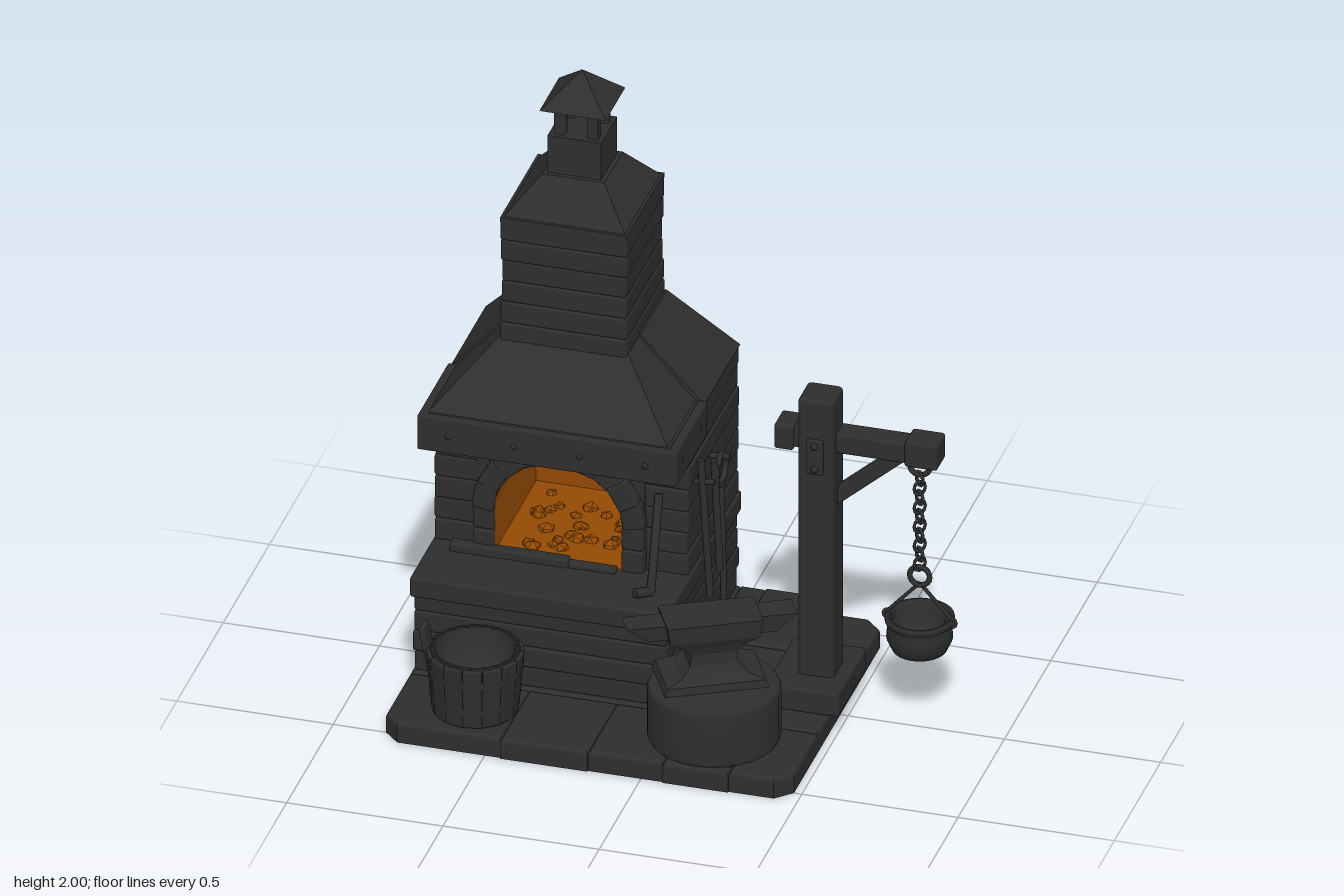
import * as THREE from 'three';
import { RoundedBoxGeometry } from 'three/addons/geometries/RoundedBoxGeometry.js';

const V = (x, y, z) => new THREE.Vector3(x, y, z);

export function createModel() {
  const model = new THREE.Group();
  const iron = new THREE.MeshStandardMaterial({ color: 0x2e2e2e, side: THREE.DoubleSide });
  iron.name = 'charcoalGrey';
  const glow = new THREE.MeshStandardMaterial({ color: 0x944a04, side: THREE.DoubleSide });
  glow.name = 'emberOrange';

  let seed = 7;
  const rnd = () => (seed = (seed * 16807) % 2147483647) / 2147483647;
  const group = (name) => {
    const g = new THREE.Group();
    g.name = name;
    model.add(g);
    return g;
  };
  const add = (parent, name, geo, x = 0, y = 0, z = 0, mat = iron) => {
    const m = new THREE.Mesh(geo, mat);
    m.name = name;
    m.position.set(x, y, z);
    parent.add(m);
    return m;
  };
  // softened block given by its extents
  const block = (parent, name, x0, x1, y0, y1, z0, z1, r = 0.009) =>
    add(parent, name, new RoundedBoxGeometry(x1 - x0, y1 - y0, z1 - z0, 2, r),
      (x0 + x1) / 2, (y0 + y1) / 2, (z0 + z1) / 2);
  // four-sided taper between two rectangles [x0, x1, z0, z1]
  const taper = (parent, name, y0, y1, a, b) => {
    const g = new THREE.BoxGeometry(1, 1, 1), p = g.attributes.position;
    for (let i = 0; i < p.count; i++) {
      const r = p.getY(i) > 0 ? b : a;
      p.setXYZ(i, p.getX(i) > 0 ? r[1] : r[0], p.getY(i) > 0 ? y1 : y0, p.getZ(i) > 0 ? r[3] : r[2]);
    }
    g.computeVertexNormals();
    return add(parent, name, g);
  };
  const rod = (parent, name, a, b, r, sides = 8) => {
    const m = add(parent, name, new THREE.CylinderGeometry(r, r, a.distanceTo(b), sides));
    m.position.copy(a).add(b).multiplyScalar(0.5);
    m.quaternion.setFromUnitVectors(V(0, 1, 0), b.clone().sub(a).normalize());
    return m;
  };
  const bolt = (parent, x, y, z) => add(parent, 'rivet', new THREE.SphereGeometry(0.012, 8, 6), x, y, z);
  const lathe = (pts, sides) => new THREE.LatheGeometry(pts.map((p) => new THREE.Vector2(...p)), sides);

  // paving slabs: hollow shells open below, some with a cut outer corner
  const base = group('base');
  const slab = (x0, x1, z0, z1, cx = 0, cz = 0, h = 0.07) => {
    const s = new THREE.Shape(), b = 0.014, c = 0.05, pts = [];
    for (const [sx, sz] of [[-1, 1], [1, 1], [1, -1], [-1, -1]]) {
      const x = sx > 0 ? x1 : x0, z = sz > 0 ? z1 : z0;
      if (sx !== cx || sz !== cz) { pts.push([x, -z]); continue; }
      const cut = [[x - sx * c, -z], [x, -(z - sz * c)]];
      pts.push(...(sx * sz > 0 ? cut : cut.reverse()));
    }
    s.setFromPoints(pts.map(([x, y]) => new THREE.Vector2(x, y)));
    const g = new THREE.ExtrudeGeometry(s, { depth: h - b, bevelSize: b, bevelOffset: -b, bevelThickness: b, bevelSegments: 3 });
    g.rotateX(-Math.PI / 2);
    // drop the bevel and cap below the ground line
    const y = g.attributes.position, keep = [];
    for (let i = 0; i < y.count; i += 3)
      if (Math.min(y.getY(i), y.getY(i + 1), y.getY(i + 2)) > -0.001) keep.push(i, i + 1, i + 2);
    g.clearGroups();
    g.setIndex(keep);
    add(base, 'pavingSlab', g);
  };
  slab(-0.83, -0.45, 0.24, 0.55, -1, 1);
  slab(-0.45, -0.17, 0.24, 0.555);
  slab(-0.17, 0.07, 0.24, 0.55);
  slab(0.07, 0.28, 0.24, 0.555);
  slab(0.28, 0.475, 0.24, 0.55, 1, 1);
  slab(-0.01, 0.07, -0.56, 0.24);
  slab(0.07, 0.28, -0.56, -0.22, 0, 0, 0.075);
  slab(0.28, 0.475, -0.475, -0.23, 1, -1);
  slab(0.07, 0.475, -0.22, 0.24);
  slab(-0.83, -0.01, -0.56, 0.24);

  // stone courses of the hearth
  const hearth = group('hearth');
  const ys = [0.068, 0.14, 0.21, 0.28, 0.34];
  for (let i = 0; i < 4; i++) {
    const j = rnd() * 0.01;
    block(hearth, 'hearthCourse', -0.822 - j / 2, -0.018 + j / 2, ys[i], ys[i + 1], -0.55 - j, 0.222 + j);
  }
  block(hearth, 'hearthLedge', -0.83, -0.005, 0.34, 0.41, -0.555, 0.25);

  // furnace walls in courses, leaving the chamber hollow
  const walls = group('furnaceWalls');
  for (let i = 0; i < 7; i++) {
    const y0 = 0.405 + i * 0.0755, y1 = y0 + 0.0765, j = rnd() * 0.01, k = rnd() * 0.01;
    block(walls, 'leftCourse', -0.16, -0.02 + j, y0, y1, -0.55, -0.01 + k);
    block(walls, 'rightCourse', -0.82 - k, -0.68, y0, y1, -0.55, -0.01 + j);
    block(walls, 'backCourse', -0.82 - k, -0.02 + j, y0, y1, -0.552 - k / 2, -0.44);
  }

  // arched mouth
  const arch = (Type, rx, ry, y0) => {
    const s = new Type();
    s.moveTo(-rx, y0);
    s.lineTo(rx, y0);
    s.lineTo(rx, 0.57);
    s.absellipse(0, 0.57, rx, ry, 0, Math.PI, false);
    s.lineTo(-rx, y0);
    return s;
  };
  const mouth = group('firebox');
  const panel = new THREE.Shape([[-0.27, 0.405], [0.27, 0.405], [0.27, 0.93], [-0.27, 0.93]].map((p) => new THREE.Vector2(...p)));
  panel.holes.push(arch(THREE.Path, 0.215, 0.19, 0.406));
  add(mouth, 'frontWall', new THREE.ExtrudeGeometry(panel, { depth: 0.05, bevelEnabled: false, curveSegments: 16 }), -0.42, 0, -0.05);
  const lining = arch(THREE.Shape, 0.22, 0.195, 0.4);
  lining.holes.push(arch(THREE.Path, 0.203, 0.178, 0.416));
  add(mouth, 'glowingLining', new THREE.ExtrudeGeometry(lining, { depth: 0.455, bevelEnabled: false, curveSegments: 16 }), -0.42, 0, -0.43, glow);
  add(mouth, 'glowingBack', new THREE.ShapeGeometry(arch(THREE.Shape, 0.21, 0.185, 0.41)), -0.42, 0, -0.42, glow);
  for (let i = 0; i < 24; i++) {
    const e = add(mouth, 'ember', new THREE.IcosahedronGeometry(0.018 + rnd() * 0.012, 0),
      -0.58 + rnd() * 0.32, 0.41, -0.36 + rnd() * 0.34, glow);
    e.rotation.set(rnd() * 3, rnd() * 3, 0);
  }
  // arch stones, jamb stones and sill
  for (let i = 0; i < 9; i++) {
    const t = (i + 0.5) * Math.PI / 9;
    const s = add(mouth, 'archStone', new RoundedBoxGeometry(0.07, 0.092, 0.07, 2, 0.01),
      -0.42 + Math.cos(t) * 0.238, 0.57 + Math.sin(t) * 0.213, rnd() * 0.006);
    s.rotation.z = t;
  }
  for (const s of [-1, 1]) for (let i = 0; i < 2; i++)
    block(mouth, 'jambStone', -0.42 + s * 0.238 - 0.035, -0.42 + s * 0.238 + 0.035, 0.41 + i * 0.08, 0.49 + i * 0.08, -0.04, 0.036, 0.01);
  block(mouth, 'sill', -0.76, -0.38, 0.405, 0.438, 0.02, 0.06, 0.008);
  block(mouth, 'sillEnd', -0.39, -0.23, 0.405, 0.426, 0.02, 0.055, 0.008);

  // hood with riveted band
  const hood = group('hood');
  block(hood, 'frontBand', -0.83, 0, 0.82, 0.94, 0.14, 0.17, 0.006);
  block(hood, 'leftBand', -0.03, 0, 0.82, 0.94, -0.17, 0.165, 0.006);
  block(hood, 'rightBand', -0.83, -0.8, 0.82, 0.94, -0.17, 0.165, 0.006);
  block(hood, 'hoodFloor', -0.81, -0.02, 0.86, 0.935, -0.17, 0.15, 0.004);
  taper(hood, 'hoodRoof', 0.93, 1.135, [-0.81, -0.035, -0.18, 0.135], [-0.63, -0.22, -0.18, -0.055]);
  taper(hood, 'backRoof', 0.925, 1.14, [-0.825, -0.01, -0.555, -0.17], [-0.635, -0.215, -0.455, -0.17]);
  for (const x of [-0.73, -0.52, -0.31, -0.1]) bolt(hood, x, 0.88, 0.165);
  for (const z of [-0.1, 0.1]) for (const x of [-0.822, -0.008]) bolt(hood, x, 0.88, z);

  // chimney
  const chimney = group('chimney');
  for (let i = 0; i < 6; i++) {
    const h = 0.197 + rnd() * 0.008, y = 1.11 + i * 0.073;
    block(chimney, 'chimneyCourse', -0.425 - h, -0.425 + h, y, y + 0.074, -0.25 - h, -0.25 + h);
  }
  const sq = (h) => [-0.425 - h, -0.425 + h, -0.25 - h, -0.25 + h];
  taper(chimney, 'shoulderRim', 1.54, 1.555, sq(0.203), sq(0.203));
  taper(chimney, 'shoulder', 1.555, 1.67, sq(0.193), sq(0.1));
  taper(chimney, 'flue', 1.66, 1.8, sq(0.086), sq(0.086));
  for (const x of [-1, 1]) for (const z of [-1, 1])
    block(chimney, 'capPost', -0.425 + x * 0.053 - 0.018, -0.425 + x * 0.053 + 0.018, 1.79, 1.91, -0.268 + z * 0.053, -0.232 + z * 0.053, 0.004);
  taper(chimney, 'cap', 1.895, 2, sq(0.106), sq(0.001));

  // stump and anvil
  const stump = group('stump');
  add(stump, 'stumpBody', lathe([[0, 0.071], [0.2, 0.071], [0.207, 0.085], [0.207, 0.245], [0.198, 0.26], [0, 0.26]], 28), 0.175, 0, 0.35);
  const anvil = group('anvil');
  anvil.position.set(0.155, 0, 0.32);
  anvil.rotation.y = 0.49;
  const levels = [[0.255, 0.165, 0.1], [0.285, 0.155, 0.095], [0.305, 0.105, 0.075], [0.335, 0.075, 0.055],
    [0.37, 0.07, 0.05], [0.4, 0.095, 0.06], [0.425, 0.14, 0.072], [0.485, 0.15, 0.076]];
  const box2 = ([, w, d]) => [-w, w, -d, d];
  for (let i = 1; i < levels.length; i++)
    taper(anvil, 'anvilBody', levels[i - 1][0], levels[i][0], box2(levels[i - 1]), box2(levels[i]));
  taper(anvil, 'anvilHeel', 0.42, 0.48, [0.13, 0.2, -0.04, 0.04], [0.13, 0.262, -0.045, 0.045]);
  taper(anvil, 'anvilHorn', 0.425, 0.478, [-0.2, -0.13, -0.035, 0.035], [-0.27, -0.13, -0.042, 0.042]);

  // crane post, beam and brace
  const crane = group('crane');
  block(crane, 'craneFoot', 0.275, 0.508, 0.068, 0.15, -0.17, 0.135);
  block(crane, 'cranePost', 0.35, 0.465, 0.14, 1.125, -0.075, 0.045, 0.015);
  block(crane, 'craneBeam', 0.28, 0.78, 0.93, 1.0, -0.065, 0.012);
  block(crane, 'beamEnd', 0.268, 0.33, 0.922, 1.008, -0.075, 0.022);
  block(crane, 'beamTip', 0.685, 0.79, 0.924, 1.012, -0.075, 0.022);
  const brace = add(crane, 'craneBrace', new RoundedBoxGeometry(0.3, 0.045, 0.05, 2, 0.006), 0.55, 0.845, -0.026);
  brace.rotation.z = 0.72;
  for (const z of [-0.078, 0.048]) {
    block(crane, 'joinPlate', 0.38, 0.435, 0.87, 0.99, z - 0.008, z + 0.008, 0.004);
    for (const y of [0.89, 0.97]) bolt(crane, 0.408, y, z + Math.sign(z) * 0.008);
  }
  bolt(crane, 0.505, 0.11, -0.02);

  // chain
  const chain = group('chain');
  const cx = 0.717, cz = -0.04;
  for (const y of [0.9, 0.51]) add(chain, 'chainRing', new THREE.TorusGeometry(0.032, 0.009, 8, 18), cx, y, cz);
  for (let i = 0; i < 10; i++) {
    const l = add(chain, 'chainLink', new THREE.TorusGeometry(0.019, 0.0055, 6, 12), cx, 0.855 - i * 0.0335, cz);
    l.scale.y = 1.2;
    l.rotation.y = i % 2 ? 0.75 : -0.75;
  }

  // hanging pot
  const pot = group('pot');
  add(pot, 'potBody', lathe([[0, 0.235], [0.05, 0.237], [0.085, 0.255], [0.103, 0.295], [0.1, 0.335], [0.096, 0.345],
    [0.108, 0.355], [0.108, 0.37], [0.094, 0.372], [0.09, 0.33], [0.075, 0.27], [0, 0.25]], 24), cx, 0, cz);
  for (const s of [-1, 1]) {
    rod(pot, 'potWire', V(cx + s * 0.104, 0.37, cz), V(cx, 0.485, cz), 0.006, 6);
    add(pot, 'potEar', new THREE.TorusGeometry(0.016, 0.006, 6, 12), cx + s * 0.1, 0.36, cz);
  }

  // wooden bucket with one long stave
  const bucket = group('bucket');
  bucket.position.set(-0.575, 0, 0.4);
  add(bucket, 'bucketShell', lathe([[0, 0.071], [0.122, 0.071], [0.14, 0.285], [0.122, 0.285], [0.112, 0.15], [0, 0.15]], 20));
  for (let i = 0; i < 14; i++) {
    const pivot = new THREE.Group();
    pivot.name = 'staveMount';
    pivot.rotation.y = i * Math.PI / 7;
    bucket.add(pivot);
    const tall = i === 7 ? 0.06 : 0;
    const s = add(pivot, 'stave', new RoundedBoxGeometry(0.018, 0.21 + tall, 0.06, 1, 0.005), 0.132 + tall * 0.1, 0.18 + tall / 2, 0);
    s.rotation.z = -0.09 - tall * 2;
  }
  for (const [y, r] of [[0.13, 0.138], [0.23, 0.147]])
    add(bucket, 'bucketHoop', new THREE.CylinderGeometry(r + 0.003, r, 0.03, 24, 1, true), 0, y, 0);
  rod(bucket, 'bucketBar', V(0, 0.155, 0.1), V(0.012, 0.155, -0.05), 0.006);

  // rod leaning against the front wall
  const tools = group('tools');
  rod(tools, 'leaningRod', V(-0.09, 0.42, 0.14), V(-0.1, 0.7, 0.02), 0.014);
  rod(tools, 'leaningFoot', V(-0.09, 0.42, 0.135), V(-0.13, 0.43, 0.18), 0.016);

  // tongs and rods hung on the side wall
  rod(tools, 'hangingRod', V(0.035, 0.3, -0.08), V(0.005, 0.78, -0.08), 0.012);
  rod(tools, 'tongArm', V(0.03, 0.33, -0.2), V(0.015, 0.72, -0.19), 0.012);
  rod(tools, 'tongArm', V(0.03, 0.18, -0.245), V(0.02, 0.62, -0.245), 0.011);
  const ring = add(tools, 'tongRing', new THREE.TorusGeometry(0.05, 0.01, 8, 20), 0.02, 0.66, -0.245);
  ring.rotation.y = Math.PI / 2;
  for (const z of [-0.245, -0.08]) rod(tools, 'wallHook', V(-0.03, 0.7, z), V(0.05, 0.71, z), 0.01);

  return model;
}
